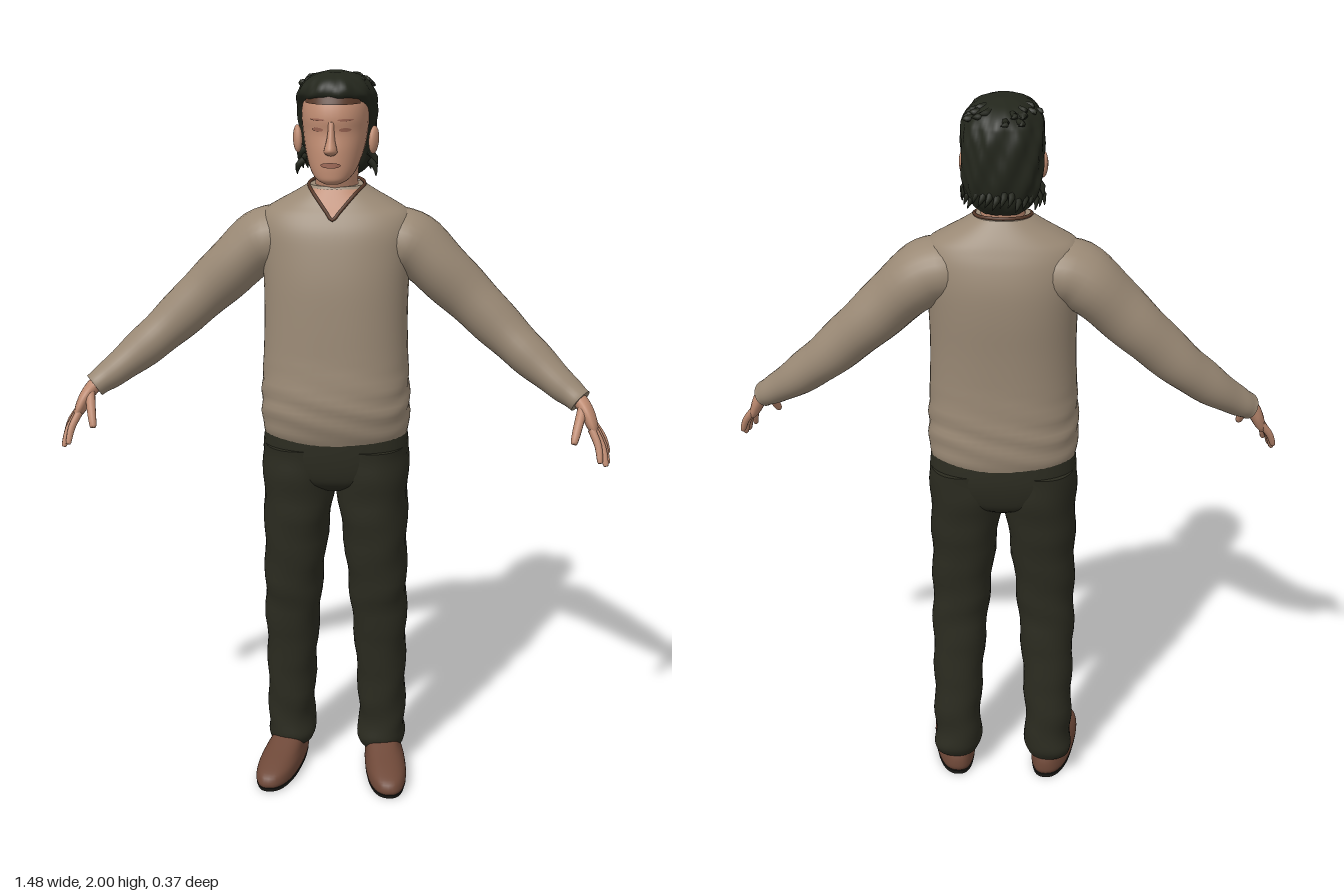
import * as THREE from 'three';
import { mergeGeometries } from 'three/addons/utils/BufferGeometryUtils.js';

const mat = (name, color, side = THREE.FrontSide) => {
  const m = new THREE.MeshStandardMaterial({ color, side });
  m.name = name;
  return m;
};

// Catmull-Rom resampling of every column of a section table
function smooth(rows, k = 4) {
  const out = [];
  for (let i = 0; i < rows.length - 1; i++) {
    const [a, b, c, d] = [-1, 0, 1, 2].map(o => rows[Math.min(rows.length - 1, Math.max(0, i + o))]);
    for (let s = 0; s < k; s++) {
      const t = s / k;
      out.push(b.map((_, n) => b[n] + 0.5 * t * (c[n] - a[n] + t * (2 * a[n] - 5 * b[n] + 4 * c[n] - d[n]
        + t * (3 * (b[n] - c[n]) + d[n] - a[n])))));
    }
  }
  out.push(rows[rows.length - 1]);
  return out;
}

// Skin over closed rings, with flat end caps
function skinRings(rings) {
  const n = rings[0].length, pos = [], idx = [];
  rings.forEach(r => r.forEach(p => pos.push(p.x, p.y, p.z)));
  for (let i = 0; i < rings.length - 1; i++) for (let j = 0; j < n; j++) {
    const a = i * n + j, b = i * n + (j + 1) % n;
    idx.push(a, a + n, b, b, a + n, b + n);
  }
  [rings[0], rings[rings.length - 1]].forEach((r, end) => {
    const base = pos.length / 3, c = new THREE.Vector3();
    r.forEach(p => { pos.push(p.x, p.y, p.z); c.addScaledVector(p, 1 / n); });
    pos.push(c.x, c.y, c.z);
    for (let j = 0; j < n; j++) {
      const a = base + j, b = base + (j + 1) % n;
      if (end) idx.push(a, base + n, b); else idx.push(a, b, base + n);
    }
  });
  const g = new THREE.BufferGeometry();
  g.setAttribute('position', new THREE.Float32BufferAttribute(pos, 3));
  g.setIndex(idx);
  g.computeVertexNormals();
  return g;
}

const sup = (v, p) => Math.sign(v) * Math.pow(Math.abs(v), 2 / p);

// Upright loft; row = [y, centreX, halfWidth, zFront, zBack]
function loft(rows, p = 2.3, warp = null, seg = 40) {
  return skinRings(rows.map(([y, cx, hx, zf, zb]) => Array.from({ length: seg }, (_, j) => {
    const t = j / seg * Math.PI * 2;
    const v = new THREE.Vector3(cx + hx * sup(Math.cos(t), p), y, (zf + zb) / 2 + (zf - zb) / 2 * sup(Math.sin(t), p));
    if (warp) warp(v, t);
    return v;
  })));
}

// Limb loft along a path; row = [x, y, z, thickness radius, radius towards z]
function limb(table, seg = 20, k = 4, warp = 0) {
  const rows = smooth(table, k), P = rows.map(r => new THREE.Vector3(r[0], r[1], r[2]));
  return skinRings(rows.map((r, i) => {
    const T = P[Math.min(i + 1, P.length - 1)].clone().sub(P[Math.max(i - 1, 0)]).normalize();
    const v = new THREE.Vector3(0, 0, 1).addScaledVector(T, -T.z).normalize();
    const u = T.clone().cross(v);
    return Array.from({ length: seg }, (_, j) => {
      const t = j / seg * Math.PI * 2, w = 1 + warp * Math.sin(i * 1.1 + 2 * Math.sin(t));
      return P[i].clone().addScaledVector(u, r[3] * w * Math.cos(t)).addScaledVector(v, r[4] * w * Math.sin(t));
    });
  }));
}

function mirror(geo) {
  const g = geo.clone().scale(-1, 1, 1), a = g.index.array;
  for (let i = 0; i < a.length; i += 3) [a[i], a[i + 1]] = [a[i + 1], a[i]];
  return g;
}

// Front surface height of an upright loft
function frontZ(rows, x, y, p) {
  let i = 0;
  while (i < rows.length - 2 && rows[i + 1][0] < y) i++;
  const t = (y - rows[i][0]) / (rows[i + 1][0] - rows[i][0]);
  const [, , hx, zf, zb] = rows[i].map((v, n) => v + t * (rows[i + 1][n] - v));
  const q = Math.max(0, 1 - Math.pow(Math.min(1, Math.abs(x) / hx), p));
  return (zf + zb) / 2 + (zf - zb) / 2 * Math.pow(q, 1 / p);
}

// Thin plate draped on the front of a loft; half(s) gives the half width for s = 0..1
function plate(rows, p, cx, y0, y1, half, lift) {
  const g = new THREE.PlaneGeometry(1, 1, 14, 10), a = g.attributes.position;
  for (let i = 0; i < a.count; i++) {
    const s = a.getY(i) + 0.5, x = cx + a.getX(i) * 2 * half(s), y = y0 + s * (y1 - y0);
    a.setXYZ(i, x, y, frontZ(rows, x, y, p) + lift);
  }
  g.computeVertexNormals();
  return g;
}

export function createModel() {
  const model = new THREE.Group();
  model.name = 'standingMan';
  const sweater = mat('sweater beige', 0x9a8975), trousers = mat('trouser dark olive', 0x2b2b20);
  const skin = mat('skin', 0xbd8a70, THREE.DoubleSide), hair = mat('hair black', 0x23261c);
  const leather = mat('shoe brown', 0x6e4838), soleMat = mat('sole black', 0x1c1b17);
  const trim = mat('dark brown', 0x563828, THREE.DoubleSide), lip = mat('lip and eyelid', 0x9a6553, THREE.DoubleSide);
  const add = (name, geo, m) => {
    const mesh = new THREE.Mesh(geo, m);
    mesh.name = name;
    model.add(mesh);
  };
  const pair = (name, geo, m) => {
    add('left' + name, geo, m);
    add('right' + name, mirror(geo), m);
  };

  // Sweater body with soft folds above the hem
  const torso = smooth([
    [1.02, 0, .193, .1, -.16], [1.05, 0, .2, .113, -.168], [1.1, 0, .202, .125, -.171], [1.16, 0, .2, .128, -.171],
    [1.25, 0, .195, .12, -.17], [1.35, 0, .192, .115, -.175], [1.45, 0, .194, .108, -.183], [1.53, 0, .2, .095, -.183],
    [1.59, 0, .204, .08, -.172], [1.63, 0, .192, .06, -.157], [1.655, 0, .155, .042, -.145],
    [1.68, 0, .11, .026, -.13], [1.703, 0, .073, .012, -.115]]);
  add('sweaterBody', loft(torso, 2.3, (v, t) => {
    const w = .0035 * Math.max(0, 1 - Math.abs(v.y - 1.13) / .13) * Math.sin(v.y * 95 + 3 * Math.sin(t * 2));
    v.x *= 1 + w * 4;
    v.z += w * Math.sign(Math.sin(t)) * Math.abs(Math.sin(t));
  }, 56), sweater);
  pair('Sleeve', limb([
    [.08, 1.56, -.055, .07, .085], [.16, 1.558, -.058, .085, .1], [.22, 1.53, -.06, .083, .098], [.3, 1.455, -.06, .075, .083],
    [.38, 1.38, -.058, .069, .071], [.46, 1.305, -.045, .061, .066], [.53, 1.245, -.025, .054, .062],
    [.6, 1.19, .003, .043, .051], [.64, 1.162, .022, .036, .044], [.658, 1.149, .031, .033, .041]], 28, 4, .018), sweater);

  // V neckline
  add('throat', plate(torso, 2.3, 0, 1.628, 1.697, s => .002 + .062 * s, .004), skin);
  const rim = [[0, 1.626], [.018, 1.645], [.038, 1.668], [.058, 1.69]]
    .map(([x, y]) => new THREE.Vector3(x, y, frontZ(torso, x, y, 2.3) + .004));
  rim.push(new THREE.Vector3(.073, 1.703, -.05), new THREE.Vector3(.052, 1.709, -.1));
  const other = rim.slice(1).reverse().map(v => new THREE.Vector3(-v.x, v.y, v.z));
  const loop = new THREE.CatmullRomCurve3([...rim, new THREE.Vector3(0, 1.71, -.117), ...other], true);
  add('collar', new THREE.TubeGeometry(loop, 80, .0045, 8, true), trim);

  // Trousers
  add('trouserSeat', loft(smooth([
    [.875, 0, .05, .05, -.11], [.9, 0, .14, .083, -.143], [.93, 0, .188, .095, -.156], [.98, 0, .2, .1, -.163],
    [1.04, 0, .194, .1, -.16]]), 2.5), trousers);
  pair('TrouserLeg', loft(smooth([
    [.065, .133, .062, .02, -.128], [.09, .133, .069, .03, -.137], [.13, .132, .066, .026, -.134], [.2, .132, .067, .03, -.135],
    [.35, .128, .071, .038, -.126], [.5, .123, .078, .055, -.119], [.6, .118, .082, .07, -.12], [.75, .109, .09, .085, -.135],
    [.86, .102, .098, .092, -.148], [.95, .1, .1, .098, -.158], [1, .1, .098, .098, -.158]]), 2.3,
  (v, t) => { v.x += .003 * Math.sin(v.y * 42 + 2 * Math.sin(t)); v.z += .002 * Math.sin(v.y * 55 + t); }), trousers);

  // Shoes, toes turned slightly out
  const splay = v => { v.x += (v.z - .02) * .14; };
  pair('Shoe', loft(smooth([
    [.012, .149, .056, .181, -.124], [.025, .149, .059, .184, -.13], [.045, .148, .057, .172, -.13],
    [.062, .146, .052, .13, -.126], [.08, .142, .046, .07, -.118], [.1, .14, .042, .01, -.108]]), 2.4, splay), leather);
  pair('Sole', loft([[0, .149, .055, .178, -.126], [.013, .149, .058, .184, -.129]], 2.4, splay), soleMat);

  // Hands
  const digit = (a, b, c, r) => limb([[...a, r, r], [...b, r * .92, r * .92], [...c, r * .7, r * .7],
    c.map((v, i) => v + (c[i] - b[i]) * .12).concat(r * .25, r * .25)], 10, 3);
  const mid = (a, b) => a.map((v, i) => (v + b[i]) / 2 + (i === 0 ? .006 : 0));
  const fingers = [[[.688, 1.09, .09], [.712, 1.015, .128]], [[.696, 1.085, .077], [.728, 1.003, .114]],
    [[.699, 1.085, .06], [.733, 1.003, .092]], [[.697, 1.09, .043], [.734, 1.022, .063]]]
    .map(([a, c]) => digit(a, mid(a, c), c, .0105));
  const palm = limb([[.63, 1.175, .02, .022, .026], [.658, 1.15, .034, .02, .028], [.676, 1.125, .05, .019, .037],
    [.69, 1.095, .063, .016, .038], [.697, 1.078, .069, .01, .033]], 18);
  const thumb = digit([.664, 1.14, .058], [.652, 1.1, .1], [.643, 1.064, .124], .0135);
  pair('Hand', mergeGeometries([palm, thumb, ...fingers]), skin);

  // Neck and head
  add('neck', loft(smooth([[1.6, 0, .06, .0, -.1], [1.68, 0, .058, .008, -.103], [1.72, 0, .056, .02, -.105],
    [1.77, 0, .06, .03, -.11]]), 2), skin);
  const head = smooth([
    [1.722, 0, .024, .09, .03], [1.732, 0, .042, .103, 0], [1.75, 0, .057, .105, -.04], [1.775, 0, .068, .104, -.08],
    [1.81, 0, .078, .1, -.12], [1.85, 0, .084, .092, -.13], [1.885, 0, .086, .094, -.132], [1.92, 0, .084, .085, -.128],
    [1.95, 0, .073, .066, -.11], [1.975, 0, .05, .035, -.08]]);
  add('head', loft(head, 2.2), skin);
  add('nose', loft(smooth([[1.797, 0, .009, .108, .085], [1.805, 0, .017, .126, .08], [1.815, 0, .016, .13, .08],
    [1.835, 0, .011, .117, .08], [1.86, 0, .008, .103, .08], [1.88, 0, .009, .095, .08]]), 2, null, 16), skin);
  const oval = w => s => w * Math.sqrt(Math.max(.02, 1 - (2 * s - 1) ** 2));
  add('mouth', plate(head, 2.2, 0, 1.766, 1.78, oval(.026), .005), lip);
  pair('Eye', plate(head, 2.2, .035, 1.855, 1.865, oval(.015), .003), lip);
  pair('Brow', plate(head, 2.2, .036, 1.882, 1.888, oval(.02), .003), lip);
  const ear = new THREE.SphereGeometry(1, 16, 12).scale(.012, .036, .021).rotateX(-.2).rotateY(-.3).translate(.099, 1.822, -.016);
  pair('Ear', ear, skin);

  // Hair cap, cut back behind the face, with a brown fringe edge
  const jag = (v, t) => {
    const w = 1 + .022 * Math.sin(t * 9 + v.y * 40) + .014 * Math.sin(t * 17 - v.y * 70);
    v.x *= w;
    v.z = -.03 + (v.z + .03) * w;
  };
  add('hair', loft(smooth([
    [1.717, 0, .045, -.07, -.11], [1.745, 0, .08, -.04, -.132], [1.79, 0, .096, -.03, -.145], [1.83, 0, .101, -.01, -.15],
    [1.87, 0, .103, .012, -.151], [1.905, 0, .104, .035, -.149], [1.93, 0, .102, .07, -.144], [1.945, 0, .098, .084, -.138],
    [1.965, 0, .086, .079, -.122], [1.983, 0, .064, .058, -.092], [1.995, 0, .025, .02, -.045]]), 2.1, jag, 72), hair);
  add('fringeEdge', plate(head, 2.2, 0, 1.922, 1.948, () => .07, .006), trim);

  // Loose locks over the crown, nape and temples
  let seed = 7;
  const rnd = () => (seed = (seed * 16807) % 2147483647) / 2147483647;
  const locks = [];
  for (let i = 0; i < 46; i++) {
    const low = i < 18, a = low ? Math.PI * (1.0 + i / 17) : rnd() * Math.PI * 2;
    const r = low ? .085 : .045 + rnd() * .04, y = low ? 1.765 + rnd() * .03 : 1.992 - r * r * 5.5;
    const x = Math.cos(a) * r, z = -.035 + Math.sin(a) * r * 1.12;
    const out = low ? .016 : .02, dy = low ? -.04 : -.004;
    locks.push(limb([[x, y, z, .009, .009], [x + Math.cos(a) * out, y + dy * .4, z + Math.sin(a) * out, .008, .008],
      [x + Math.cos(a + .5) * out * 1.4, y + dy, z + Math.sin(a + .5) * out * 1.4, .001, .001]], 6, 2));
  }
  add('hairLocks', mergeGeometries(locks), hair);
  return model;
}
